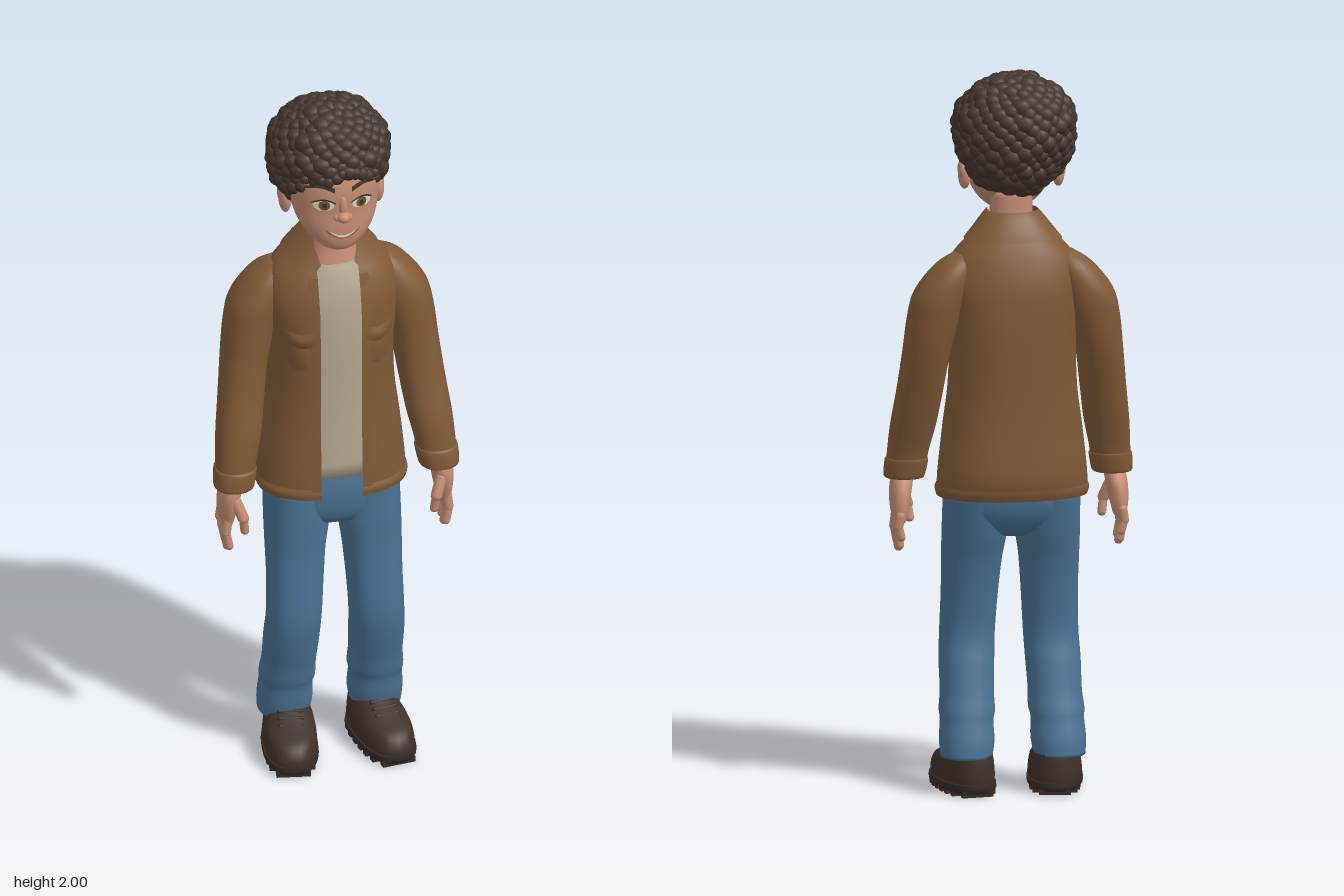
import * as THREE from 'three';
import { mergeGeometries } from 'three/addons/utils/BufferGeometryUtils.js';

const mat = (name, color, side = THREE.FrontSide) => {
  const m = new THREE.MeshStandardMaterial({ color, side });
  m.name = name;
  return m;
};
const skin = mat('skin', 0xc48d74), hairMat = mat('hair', 0x43352c), denim = mat('denim', 0x4a7293);
const canvas = mat('brown canvas', 0x805a37, THREE.DoubleSide), cotton = mat('cream cotton', 0xb3a68f);
const leather = mat('shoe leather', 0x40322b), sole = mat('sole', 0x352a25);
const white = mat('eye white', 0xe4dcd2), iris = mat('iris', 0x6f5a3a), lip = mat('lip', 0xa0604f);

// Smooth a list of sections [y, centreX, halfWidth, zFront, zBack], lowest first
function smooth(rows, k = 4) {
  const r = [...rows].sort((a, b) => a[0] - b[0]), out = [];
  for (let i = 0; i < r.length - 1; i++) {
    const p = [r[Math.max(i - 1, 0)], r[i], r[i + 1], r[Math.min(i + 2, r.length - 1)]];
    for (let j = 0; j < k; j++) {
      const t = j / k;
      out.push(r[i].map((_, c) => {
        const v1 = (p[2][c] - p[0][c]) / 2, v2 = (p[3][c] - p[1][c]) / 2, d = p[1][c] - p[2][c];
        return ((2 * d + v1 + v2) * t - 3 * d - 2 * v1 - v2) * t * t + v1 * t + p[1][c];
      }));
    }
  }
  return [...out, r[r.length - 1]];
}

// Skin a stack of rounded sections; a gap leaves the front open
function loft(rows, { n = 2.2, seg = 28, gap = 0 } = {}) {
  const s = smooth(rows), pos = [], idx = [], w = gap ? seg + 1 : seg;
  const pw = v => Math.sign(v) * Math.abs(v) ** (2 / n);
  for (const [y, cx, rx, zf, zb] of s) {
    const start = gap ? Math.asin(Math.min(0.95, gap / rx) ** (n / 2)) : 0;
    for (let i = 0; i < w; i++) {
      const a = start + (i / seg) * (Math.PI * 2 - 2 * start);
      pos.push(cx + rx * pw(Math.sin(a)), y, (zf + zb) / 2 + (zf - zb) / 2 * pw(Math.cos(a)));
    }
  }
  for (let j = 0; j < s.length - 1; j++) for (let i = 0; i < seg; i++) {
    const a = j * w + i, b = j * w + (i + 1) % w;
    idx.push(a, b, b + w, a, b + w, a + w);
  }
  if (!gap) for (const j of [0, s.length - 1]) {
    const c = pos.length / 3, [y, cx, , zf, zb] = s[j];
    pos.push(cx, y, (zf + zb) / 2);
    for (let i = 0; i < seg; i++) {
      const a = j * w + i, b = j * w + (i + 1) % seg;
      idx.push(c, ...(j ? [a, b] : [b, a]));
    }
  }
  const g = new THREE.BufferGeometry();
  g.setAttribute('position', new THREE.Float32BufferAttribute(pos, 3));
  g.setIndex(idx);
  g.computeVertexNormals();
  return g;
}

// Front depth of a lofted body at (x, y)
function surface(rows, n = 2.2) {
  const s = smooth(rows, 8);
  return (x, y) => {
    let i = s.findIndex(r => r[0] >= y);
    i = i < 0 ? s.length - 1 : Math.max(i, 1);
    const t = Math.min(1, Math.max(0, (y - s[i - 1][0]) / (s[i][0] - s[i - 1][0])));
    const [, cx, rx, zf, zb] = s[i].map((v, c) => THREE.MathUtils.lerp(s[i - 1][c], v, t));
    const u = Math.min(1, Math.abs((x - cx) / rx));
    return (zf + zb) / 2 + (zf - zb) / 2 * (1 - u ** n) ** (1 / n);
  };
}

// Lay flat shapes onto a surface
function drape(g, surf, off) {
  const p = g.attributes.position;
  for (let i = 0; i < p.count; i++) p.setZ(i, surf(p.getX(i), p.getY(i)) + off);
  g.computeVertexNormals();
  return g;
}
const disc = (x, y, rx, ry, surf, off) =>
  drape(new THREE.RingGeometry(0.001, 1, 20, 3).scale(rx, ry, 1).translate(x, y, 0), surf, off);
// Four-cornered patch (top left, top right, bottom right, bottom left); bend arches it
function patch(c, s, surf, off, bend = 0, puff = 0) {
  const [tl, tr, br, bl] = s > 0 ? c : [c[1], c[0], c[3], c[2]].map(([x, y]) => [-x, y]);
  const g = new THREE.PlaneGeometry(1, 1, 10, 6), p = g.attributes.position, lift = [];
  for (let i = 0; i < p.count; i++) {
    const u = p.getX(i) + 0.5, v = 0.5 - p.getY(i);
    const mix = k => (tl[k] * (1 - u) + tr[k] * u) * (1 - v) + (bl[k] * (1 - u) + br[k] * u) * v;
    p.setXY(i, mix(0), mix(1) + bend * Math.sin(Math.PI * u));
    lift.push(puff * Math.sin(Math.PI * u) * Math.sin(Math.PI * v));
  }
  drape(g, surf, off);
  lift.forEach((d, i) => p.setZ(i, p.getZ(i) + d));
  g.computeVertexNormals();
  return g;
}
const ball = (x, y, z, rx, ry, rz, w = 16) => new THREE.SphereGeometry(1, w, w * 0.75).scale(rx, ry, rz).translate(x, y, z);
function rod(a, b, r) {
  const A = new THREE.Vector3(...a), B = new THREE.Vector3(...b), d = B.clone().sub(A);
  const q = new THREE.Quaternion().setFromUnitVectors(new THREE.Vector3(0, 1, 0), d.clone().normalize());
  return new THREE.CapsuleGeometry(r, d.length(), 4, 10).applyQuaternion(q).translate(...A.add(B).multiplyScalar(0.5).toArray());
}

const HEAD = [[1.602, 0, 0.02, 0.108, 0.07], [1.612, 0, 0.05, 0.123, 0.02], [1.64, 0, 0.082, 0.133, -0.03],
  [1.68, 0, 0.107, 0.135, -0.06], [1.73, 0, 0.121, 0.133, -0.09], [1.79, 0, 0.126, 0.136, -0.11],
  [1.85, 0, 0.124, 0.122, -0.12], [1.92, 0, 0.09, 0.08, -0.1], [1.95, 0, 0.03, 0.02, -0.05]];
const JACKET = [[0.83, 0, 0.205, 0.125, -0.155], [0.89, 0, 0.204, 0.125, -0.172], [1.02, 0, 0.19, 0.118, -0.165],
  [1.13, 0, 0.176, 0.116, -0.165], [1.25, 0, 0.173, 0.117, -0.17], [1.34, 0, 0.18, 0.117, -0.17],
  [1.42, 0, 0.185, 0.108, -0.163], [1.49, 0, 0.168, 0.085, -0.145], [1.54, 0, 0.128, 0.06, -0.125],
  [1.585, 0, 0.09, 0.043, -0.1], [1.61, 0, 0.072, 0.04, -0.082]];
const faceZ = surface(HEAD), coatZ = surface(JACKET, 2.3);

// Curly hair: a cap tucked in below the hairline, covered with small curls
function hairGeometry() {
  let seed = 7;
  const rnd = () => (seed = (seed * 16807) % 2147483647) / 2147483647;
  const hairline = z => z > 0.085 ? 1.832 : 1.672 + 0.12 * THREE.MathUtils.clamp((z + 0.05) / 0.12, 0, 1);
  const place = (x, y, z, k) => [-0.005 + x * 0.148 * k, 1.843 + y * (y > 0 ? 0.132 : 0.165) * k, -0.028 + z * 0.143 * k];
  const cap = new THREE.SphereGeometry(1, 40, 30), p = cap.attributes.position;
  for (let i = 0; i < p.count; i++) {
    const d = [p.getX(i), p.getY(i), p.getZ(i)], q = place(...d, 1);
    p.setXYZ(i, ...(q[1] < hairline(q[2]) ? place(...d, 0.55) : q));
  }
  cap.computeVertexNormals();
  const parts = [cap];
  for (let i = 0; i < 340; i++) {
    const y = 1 - 2 * (i + 0.5) / 340, r = Math.sqrt(1 - y * y), a = i * 2.39996;
    const c = place(r * Math.sin(a), y, r * Math.cos(a), 0.97 + rnd() * 0.05), s = 0.02 + rnd() * 0.009;
    if (c[1] > hairline(c[2])) parts.push(ball(...c, s * 1.1, s, s, 10));
  }
  // Loose curls along the forehead
  for (let i = 0; i < 13; i++) {
    const x = -0.115 + i * 0.019, y = 1.832 + rnd() * 0.018 - Math.abs(x) * 0.15;
    parts.push(ball(x, y, faceZ(x, y) + 0.002, 0.016, 0.015 + rnd() * 0.005, 0.013, 10));
  }
  return mergeGeometries(parts);
}

export function createModel() {
  const model = new THREE.Group();
  const add = (name, g, m, parent = model) => {
    const mesh = new THREE.Mesh(Array.isArray(g) ? mergeGeometries(g) : g, m);
    mesh.name = name;
    parent.add(mesh);
    return mesh;
  };

  // Head and face
  add('head', loft(HEAD), skin);
  add('hair', hairGeometry(), hairMat);
  add('nose', [ball(0, 1.72, 0.14, 0.019, 0.016, 0.021), ball(0, 1.748, 0.131, 0.012, 0.036, 0.014),
    ball(-0.016, 1.717, 0.134, 0.011, 0.01, 0.012), ball(0.016, 1.717, 0.134, 0.011, 0.01, 0.012)], skin);
  add('lips', patch([[-0.05, 1.681], [0.05, 1.681], [0.042, 1.668], [-0.042, 1.668]], 1, faceZ, 0.002, -0.018), lip);
  add('teeth', patch([[-0.043, 1.679], [0.043, 1.679], [0.034, 1.671], [-0.034, 1.671]], 1, faceZ, 0.004, -0.016), white);
  add('neck', loft([[1.46, 0, 0.1, 0.07, -0.09], [1.52, 0, 0.075, 0.058, -0.075], [1.58, 0, 0.06, 0.048, -0.062],
    [1.67, 0, 0.058, 0.05, -0.06]]), skin);

  // Shirt and jacket
  add('shirt', loft([[0.885, 0, 0.17, 0.112, -0.13], [1.1, 0, 0.155, 0.103, -0.13], [1.3, 0, 0.15, 0.102, -0.13],
    [1.42, 0, 0.14, 0.094, -0.12], [1.49, 0, 0.105, 0.075, -0.1], [1.525, 0, 0.08, 0.06, -0.085]]), cotton);
  add('jacketBody', loft(JACKET, { n: 2.3, seg: 40, gap: 0.058 }), canvas);
  add('jacketHem', loft([[0.828, 0, 0.207, 0.128, -0.158], [0.845, 0, 0.211, 0.131, -0.165], [0.86, 0, 0.206, 0.126, -0.168]],
    { n: 2.3, seg: 40, gap: 0.058 }), canvas);
  add('collar', loft([[1.54, 0, 0.134, 0.066, -0.132], [1.57, 0, 0.11, 0.056, -0.119], [1.605, 0, 0.082, 0.047, -0.096],
    [1.617, 0, 0.07, 0.04, -0.084]], { n: 2.3, seg: 32, gap: 0.062 }), canvas);

  // Jeans seat
  add('jeansSeat', loft([[0.9, 0, 0.183, 0.098, -0.128], [0.84, 0, 0.188, 0.108, -0.142], [0.78, 0, 0.184, 0.105, -0.128],
    [0.735, 0, 0.16, 0.085, -0.095], [0.715, 0, 0.1, 0.05, -0.06]], { n: 2.4 }), denim);

  for (const s of [1, -1]) {
    const side = s > 0 ? 'left' : 'right';
    const flip = rows => rows.map(([y, cx, ...r]) => [y, cx * s, ...r]);
    const at = (x, y, z) => [x * s, y, z];

    // Eyes, brows and ears
    add(side + 'EyeWhite', disc(s * 0.053, 1.757, 0.028, 0.018, faceZ, 0.002), white);
    add(side + 'Iris', disc(s * 0.052, 1.757, 0.015, 0.016, faceZ, 0.004), iris);
    add(side + 'Pupil', disc(s * 0.052, 1.757, 0.007, 0.008, faceZ, 0.006), leather);
    add(side + 'Eyelid', patch([[0.022, 1.767], [0.084, 1.767], [0.084, 1.762], [0.022, 1.762]], s, faceZ, 0.006, 0.012), hairMat);
    add(side + 'Brow', patch([[0.024, 1.811], [0.1, 1.808], [0.1, 1.801], [0.024, 1.796]], s, faceZ, 0.005, 0.012), hairMat);
    add(side + 'Ear', [ball(s * 0.129, 1.717, -0.008, 0.018, 0.044, 0.028), ball(s * 0.137, 1.73, -0.016, 0.012, 0.028, 0.022)], skin);

    // Jacket trim: collar flap, placket, chest pocket, hand pocket
    add(side + 'CollarFlap', patch([[0.068, 1.607], [0.118, 1.545], [0.14, 1.445], [0.046, 1.535]], s, coatZ, 0.012), canvas);
    add(side + 'Placket', patch([[0.058, 1.5], [0.085, 1.5], [0.085, 0.83], [0.058, 0.83]], s, coatZ, 0.004), canvas);
    add(side + 'ChestPocket', patch([[0.075, 1.33], [0.15, 1.33], [0.145, 1.22], [0.078, 1.22]], s, coatZ, -0.002, 0, 0.01), canvas);
    add(side + 'PocketFlap', patch([[0.07, 1.355], [0.153, 1.355], [0.153, 1.312], [0.07, 1.312]], s, coatZ, 0.006, -0.014, 0.008), canvas);
    add(side + 'HandPocket', patch([[0.115, 1.06], [0.13, 1.065], [0.158, 0.96], [0.143, 0.955]], s, coatZ, 0.004), canvas);

    // Sleeve with cuff
    add(side + 'Sleeve', loft(flip([[1.505, 0.145, 0.02, -0.02, -0.08], [1.47, 0.165, 0.052, 0.015, -0.118],
      [1.4, 0.199, 0.073, 0.038, -0.135], [1.33, 0.218, 0.073, 0.042, -0.13], [1.235, 0.237, 0.065, 0.045, -0.113],
      [1.12, 0.252, 0.063, 0.062, -0.078], [1.02, 0.266, 0.062, 0.085, -0.045], [0.94, 0.278, 0.056, 0.096, -0.018],
      [0.87, 0.285, 0.053, 0.105, -0.005]])), canvas);
    add(side + 'Cuff', loft(flip([[0.868, 0.286, 0.05, 0.104, -0.002], [0.874, 0.286, 0.056, 0.109, -0.008],
      [0.915, 0.281, 0.059, 0.104, -0.016], [0.924, 0.28, 0.055, 0.098, -0.016]])), canvas);

    // Hand
    const hand = [loft(flip([[0.89, 0.288, 0.03, 0.08, 0.02], [0.84, 0.297, 0.03, 0.094, -0.01], [0.79, 0.302, 0.025, 0.086, -0.02],
      [0.75, 0.303, 0.016, 0.072, -0.017]]), { seg: 16 })];
    for (let i = 0; i < 4; i++) {
      const z = 0.064 - i * 0.025, y = [0.688, 0.675, 0.684, 0.71][i];
      hand.push(rod(at(0.306, 0.77, z), at(0.311, (y + 0.77) / 2, z + 0.002), 0.0135));
      hand.push(rod(at(0.311, (y + 0.77) / 2, z + 0.002), at(0.303, y, z + 0.004), 0.012));
    }
    hand.push(rod(at(0.287, 0.83, 0.08), at(0.27, 0.785, 0.096), 0.016), rod(at(0.27, 0.785, 0.096), at(0.265, 0.745, 0.092), 0.0125));
    add(side + 'Hand', hand.map(g => { g.deleteAttribute('uv'); return g; }), skin);

    // Trouser leg
    add(side + 'TrouserLeg', loft(flip([[0.84, 0.098, 0.088, 0.105, -0.135], [0.73, 0.1, 0.088, 0.106, -0.105],
      [0.65, 0.106, 0.082, 0.105, -0.078], [0.55, 0.11, 0.077, 0.111, -0.055], [0.44, 0.115, 0.075, 0.116, -0.042],
      [0.36, 0.119, 0.075, 0.103, -0.058], [0.28, 0.121, 0.073, 0.08, -0.076], [0.23, 0.123, 0.076, 0.068, -0.09],
      [0.2, 0.125, 0.072, 0.058, -0.096], [0.15, 0.126, 0.075, 0.052, -0.108], [0.105, 0.128, 0.07, 0.042, -0.113]]), { n: 2.3 }), denim);

    // Shoe, toes turned slightly out
    const shoe = new THREE.Group();
    shoe.name = side + 'Shoe';
    shoe.position.x = s * 0.121;
    shoe.rotation.y = s * 0.15;
    model.add(shoe);
    add('shoeUpper', loft([[0.02, 0, 0.07, 0.185, -0.106], [0.05, 0, 0.074, 0.188, -0.11], [0.085, 0, 0.07, 0.165, -0.11],
      [0.108, 0, 0.062, 0.11, -0.108], [0.13, 0, 0.054, 0.062, -0.103], [0.147, 0, 0.047, 0.03, -0.098]], { n: 2.4 }), leather, shoe);
    add('shoeSole', loft([[0.01, 0, 0.071, 0.186, -0.108], [0.02, 0, 0.077, 0.193, -0.113], [0.035, 0, 0.076, 0.192, -0.113]], { n: 2.5 }), sole, shoe);
    const lugs = [], laces = [];
    for (let i = 0; i < 8; i++) {
      const z = -0.092 + i * 0.037, w = 0.14 * Math.sqrt(1 - Math.abs((z - 0.04) / 0.155) ** 3);
      lugs.push(new THREE.BoxGeometry(w, 0.016, 0.02).translate(0, 0.008, z));
    }
    for (let i = 0; i < 4; i++) laces.push(rod([-0.03, 0.132 - i * 0.011, 0.048 + i * 0.02], [0.03, 0.132 - i * 0.011, 0.048 + i * 0.02], 0.006));
    add('treadLugs', lugs, sole, shoe);
    add('laces', laces, sole, shoe);
  }
  return model;
}
